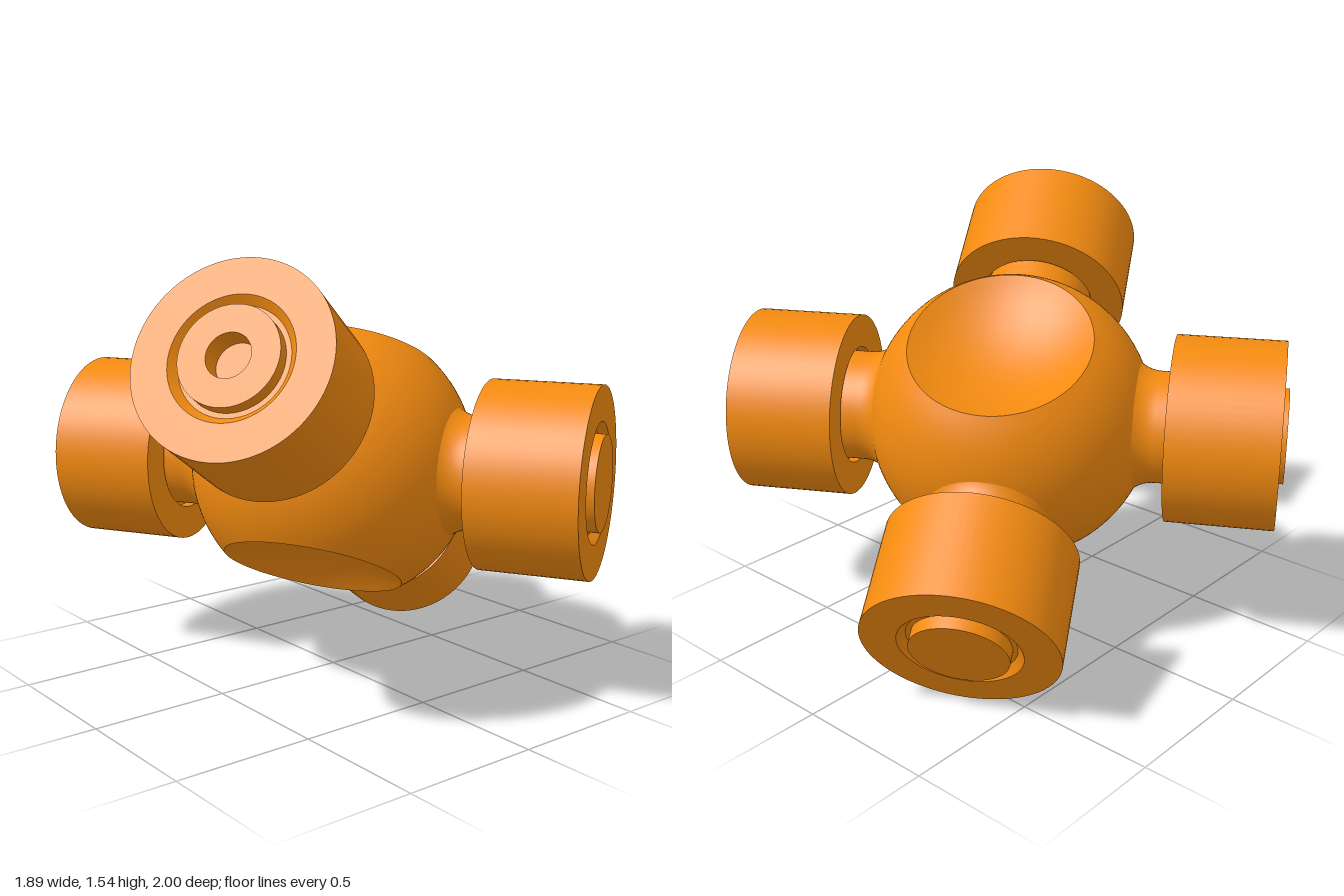
import * as THREE from 'three';
import { toCreasedNormals } from 'three/addons/utils/BufferGeometryUtils.js';

const R = 0.513;          // hub sphere radius
const CUT = 0.4;          // distance of the dished faces from the centre
const DISH = 0.1;         // depth of the dishes

const material = new THREE.MeshStandardMaterial({ color: 0xf28a10 });

// Lathe around +y; corners sharper than the crease angle stay sharp
function lathe(name, points, segments = 72) {
  const profile = points.map(([r, y]) => new THREE.Vector2(r, y));
  const geometry = toCreasedNormals(new THREE.LatheGeometry(profile, segments), 0.45);
  const mesh = new THREE.Mesh(geometry, material);
  mesh.name = name;
  return mesh;
}

// Ball hub with a shallow spherical dish at both ends
function makeHub() {
  const rim = Math.sqrt(R * R - CUT * CUT);
  const dishR = (rim * rim + DISH * DISH) / (2 * DISH);
  const dishAngle = Math.asin(rim / dishR);
  const ballAngle = Math.asin(CUT / R);
  const dish = [];
  for (let i = 0; i <= 12; i++) {
    const a = (dishAngle * i) / 12;
    dish.push([dishR * Math.sin(a), CUT - DISH + dishR * (1 - Math.cos(a))]);
  }
  const ball = [];
  for (let i = 1; i < 28; i++) {
    const a = ballAngle * (-1 + (2 * i) / 28);
    ball.push([R * Math.cos(a), R * Math.sin(a)]);
  }
  const bottom = dish.map(([r, y]) => [r, -y]);
  return lathe('hub', [...bottom, ...ball, ...dish.reverse()], 96);
}

// Arm along +y: filleted neck, bearing cap and end pin
function makeArm(name, greaseHole) {
  const arm = new THREE.Group();
  arm.name = name;

  const neck = [];
  for (let i = 0; i <= 12; i++) {
    const a = (Math.PI / 2) * (i / 12) * 0.8 + 0.2 * (Math.PI / 2);
    neck.push([0.325 - 0.125 * Math.sin(a), 0.535 - 0.125 * Math.cos(a)]);
  }
  arm.add(lathe('neck', [...neck, [0.2, 0.64]]));

  arm.add(lathe('bearingCap', [
    [0.19, 0.62], [0.215, 0.62], [0.215, 0.58], [0.334, 0.58],
    [0.334, 0.963], [0.21, 0.963], [0.185, 0.935], [0.16, 0.935],
  ]));

  const pinTop = greaseHole
    ? [[0.075, 0.982], [0.075, 0.9], [0, 0.9]]
    : [[0, 0.982]];
  arm.add(lathe('endPin', [[0.168, 0.93], [0.168, 0.982], ...pinTop]));
  return arm;
}

export function createModel() {
  const model = new THREE.Group();
  model.name = 'universalJointCross';

  const cross = new THREE.Group();
  cross.name = 'cross';
  cross.add(makeHub());

  // Four arms along the local x and z axes
  const up = new THREE.Vector3(0, 1, 0);
  const arms = [
    ['frontArm', [1, 0, 0], false],
    ['backArm', [-1, 0, 0], false],
    ['upperArm', [0, 0, 1], true],
    ['lowerArm', [0, 0, -1], false],
  ];
  for (const [name, dir, hole] of arms) {
    const arm = makeArm(name, hole);
    arm.quaternion.setFromUnitVectors(up, new THREE.Vector3(...dir));
    cross.add(arm);
  }

  // Tilt: one arm pair lies level, the other climbs 30 degrees
  const s = Math.sqrt(3) / 2;
  const level = new THREE.Vector3(0.5, 0, s);
  const climb = new THREE.Vector3(-0.75, 0.5, s / 2);
  const normal = new THREE.Vector3().crossVectors(climb, level);
  cross.quaternion.setFromRotationMatrix(new THREE.Matrix4().makeBasis(level, normal, climb));
  cross.position.y = 0.772;
  model.add(cross);
  return model;
}
